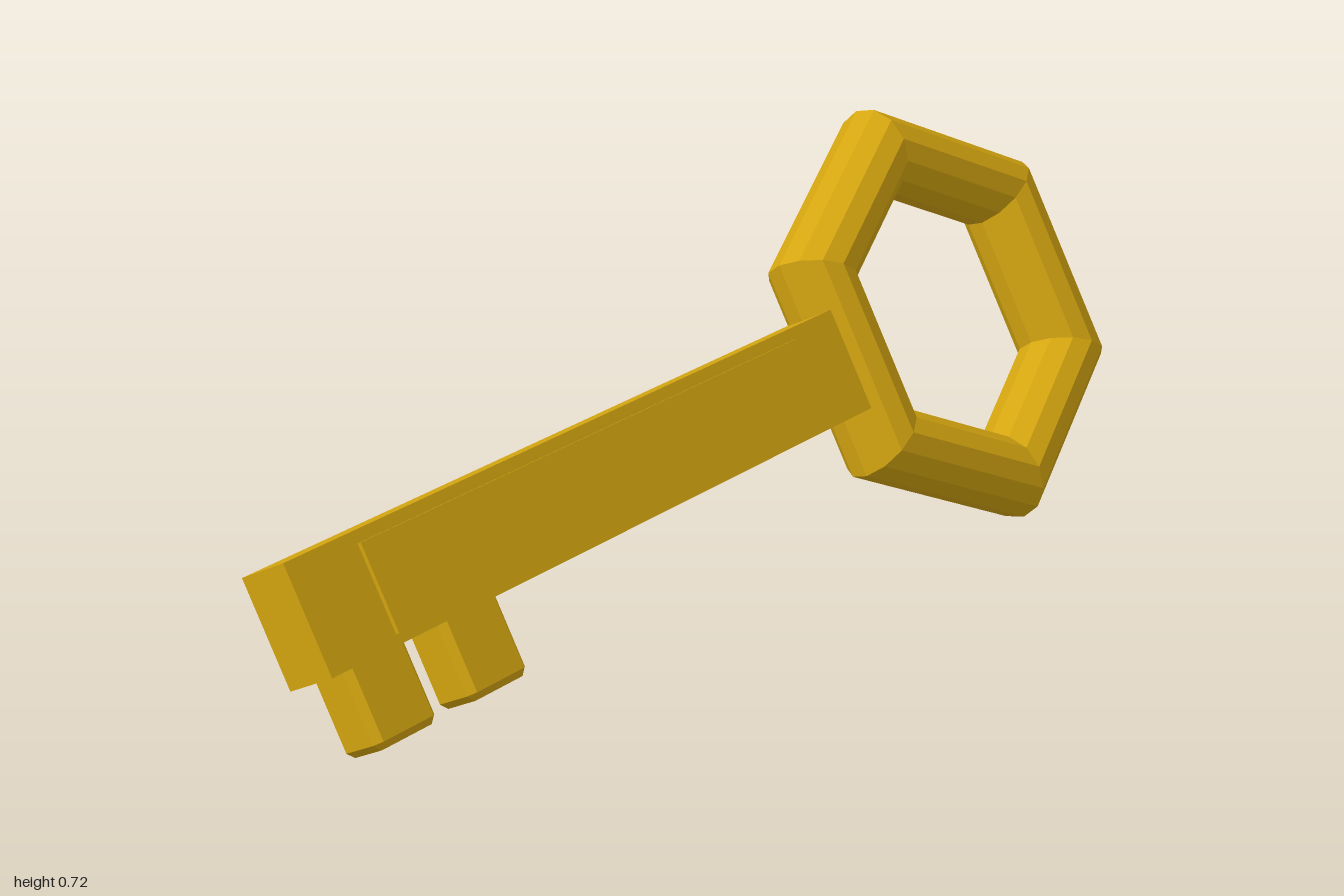
import * as THREE from 'three';
import { ConvexGeometry } from 'three/addons/geometries/ConvexGeometry.js';

const gold = new THREE.MeshStandardMaterial({ color: 0xd4a510, flatShading: true });

// Box with every edge cut at 45 degrees
function chamferBox(w, h, d, c) {
  const half = [w / 2, h / 2, d / 2];
  const points = [];
  for (const sx of [-1, 1]) for (const sy of [-1, 1]) for (const sz of [-1, 1]) {
    for (let outer = 0; outer < 3; outer++) {
      const p = half.map((v, i) => (i === outer ? v : v - c));
      points.push(new THREE.Vector3(sx * p[0], sy * p[1], sz * p[2]));
    }
  }
  return new ConvexGeometry(points);
}

export function createModel() {
  const model = new THREE.Group();
  model.name = 'key';

  // The key is built upright in the YZ plane, then tilted about its length
  const key = new THREE.Group();
  key.name = 'tiltedKey';
  key.position.y = 0.36;
  key.rotation.z = Math.PI / 6;
  model.add(key);

  const add = (name, geometry, x, y, z) => {
    const mesh = new THREE.Mesh(geometry, gold);
    mesh.name = name;
    mesh.position.set(x, y, z);
    key.add(mesh);
  };

  // Hexagonal bow with its points up and down
  const bow = new THREE.TorusGeometry(0.322, 0.08, 12, 6);
  bow.rotateZ(Math.PI / 2).rotateY(Math.PI / 2);
  add('bow', bow, 0, 0, -0.652);

  // Shaft, running into the bow
  add('shaft', new THREE.BoxGeometry(0.107, 0.187, 1.35), 0, 0.002, 0.325);

  // Thin raised panel on each side of the shaft
  for (const side of [-1, 1]) {
    add(side > 0 ? 'leftPanel' : 'rightPanel',
      new THREE.BoxGeometry(0.02, 0.15, 1.065), side * 0.0515, 0, 0.3225);
  }

  // Two chamfered teeth under the tip
  [0.9, 0.695].forEach((z, i) => {
    add(i ? 'innerTooth' : 'outerTooth', chamferBox(0.092, 0.17, 0.132, 0.012), 0.003, -0.139, z);
  });

  return model;
}
